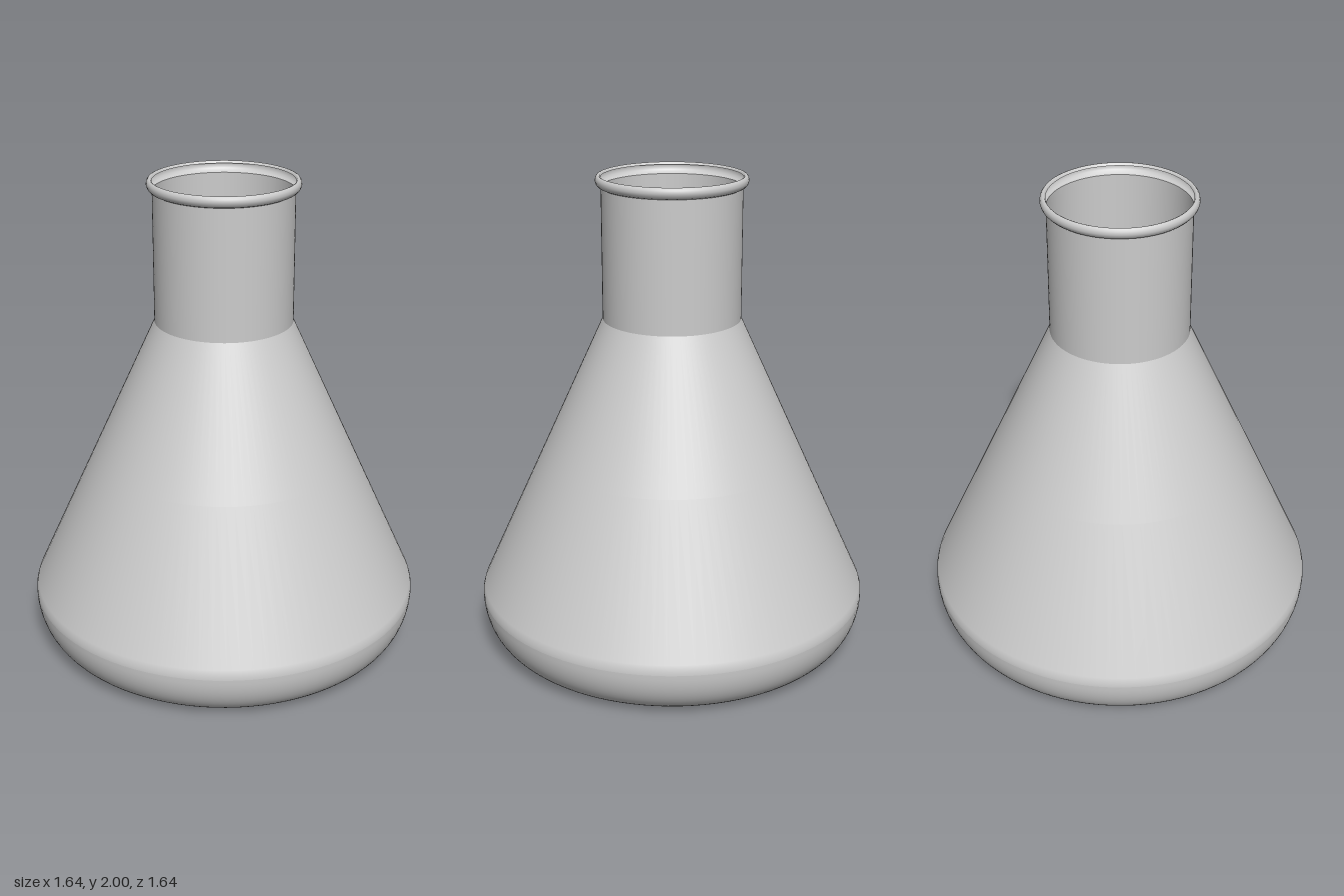
import * as THREE from 'three';

const SEGMENTS = 96;
const material = new THREE.MeshStandardMaterial({ color: 0xcccccc, side: THREE.DoubleSide });

// Revolves a [radius, height] profile; separate parts keep the seams crisp
function revolve(name, points) {
  const profile = points.map(([r, y]) => new THREE.Vector2(r, y));
  const mesh = new THREE.Mesh(new THREE.LatheGeometry(profile, SEGMENTS), material);
  mesh.name = name;
  return mesh;
}

export function createModel() {
  const flask = new THREE.Group();
  flask.name = 'conicalFlask';

  // Rounded heel, a quarter ellipse from the base to the widest point
  const heel = [];
  for (let i = 0; i <= 16; i++) {
    const a = (i / 16) * Math.PI / 2;
    heel.push([0.662 + 0.16 * Math.sin(a), 0.21 - 0.21 * Math.cos(a)]);
  }

  // Thin rolled lip, open on the inside of the neck
  const lip = [
    [0.285, 1.952], [0.296, 1.957], [0.304, 1.966], [0.308, 1.978],
    [0.306, 1.99], [0.3, 1.998], [0.294, 2], [0.288, 1.997], [0.285, 1.99],
  ];

  flask.add(
    revolve('base', [[0, 0], [0.662, 0]]),
    revolve('heel', heel),
    revolve('conicalBody', [[0.822, 0.21], [0.821, 0.225], [0.814, 0.25], [0.55, 0.83], [0.285, 1.412]]),
    revolve('neck', [[0.285, 1.412], [0.285, 1.952]]),
    revolve('lip', lip),
  );
  return flask;
}
